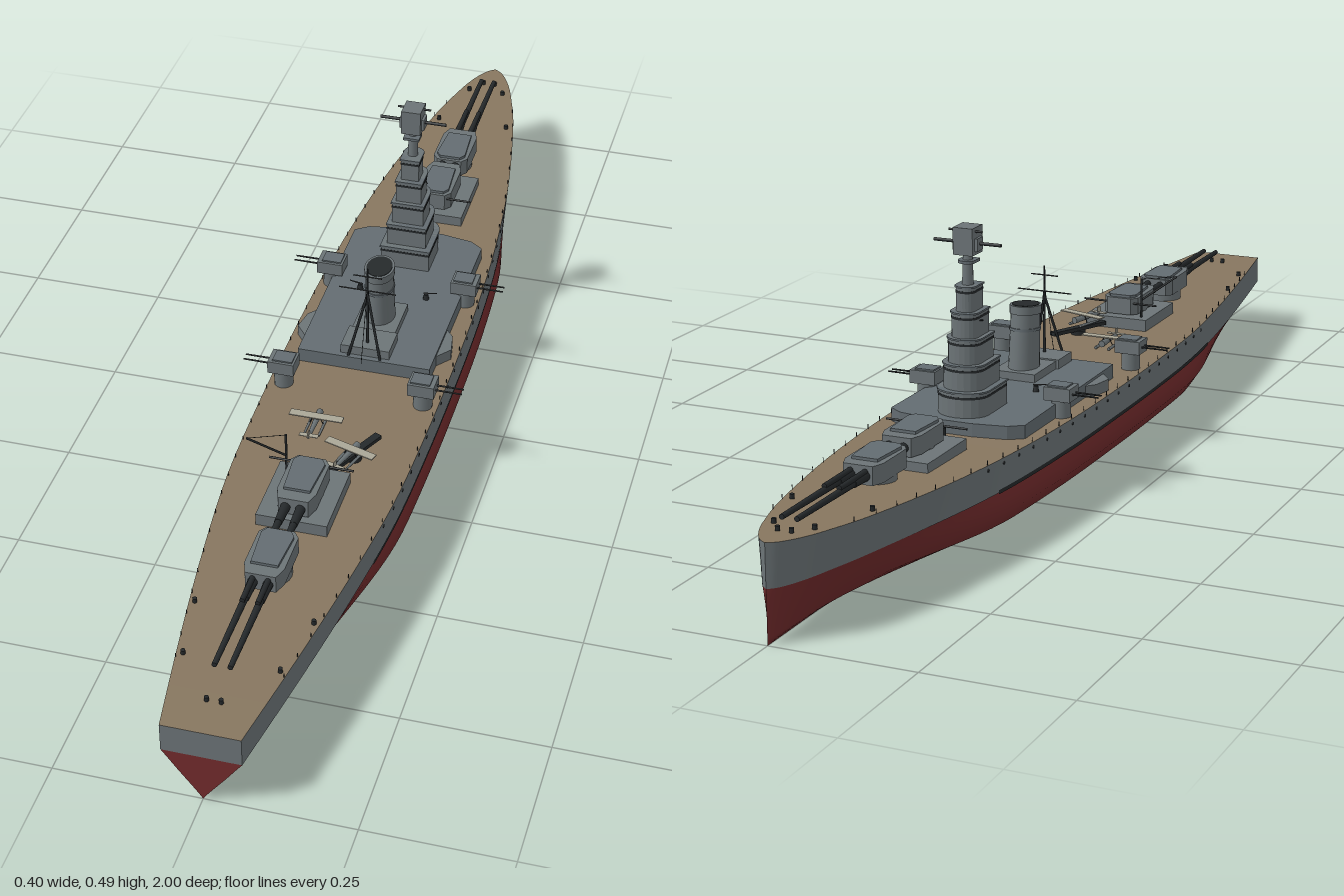
import * as THREE from 'three';

const mat = (name, color, side = THREE.FrontSide) => {
  const m = new THREE.MeshStandardMaterial({ color, side });
  m.name = name;
  return m;
};

export function createModel() {
  const grey = mat('hull grey', 0x6c7477), red = mat('antifouling red', 0x722b2c);
  const wood = mat('deck wood', 0x87765f), dark = mat('dark metal', 0x25292b);
  const pale = mat('aircraft cream', 0xaaa697), roof = mat('superstructure grey', 0x636c71);
  const ship = new THREE.Group();
  ship.name = 'battleship';

  // ---- helpers ----
  const add = (name, geo, m, parent = ship) => {
    const mesh = new THREE.Mesh(geo, m);
    mesh.name = name;
    parent.add(mesh);
    return mesh;
  };
  const group = (name, x, y, z, ry = 0, parent = ship) => {
    const g = new THREE.Group();
    g.name = name;
    g.position.set(x, y, z);
    g.rotation.y = ry;
    parent.add(g);
    return g;
  };
  const box = (name, m, w, h, d, x, y, z, parent) => {
    const b = add(name, new THREE.BoxGeometry(w, h, d), m, parent);
    b.position.set(x, y, z);
    return b;
  };
  const rod = (name, m, a, b, r0, r1 = r0, parent = ship, sides = 8) => {
    const p = new THREE.Vector3(...a), d = new THREE.Vector3(...b).sub(p);
    const c = add(name, new THREE.CylinderGeometry(r1, r0, d.length(), sides), m, parent);
    c.position.copy(p).addScaledVector(d, 0.5);
    c.quaternion.setFromUnitVectors(new THREE.Vector3(0, 1, 0), d.normalize());
    return c;
  };
  // Vertical prism from a plan outline of [x, z] points
  const prism = (name, m, outline, y0, y1, parent) => {
    const s = new THREE.Shape(outline.map(([x, z]) => new THREE.Vector2(x, -z)));
    const g = new THREE.ExtrudeGeometry(s, { depth: y1 - y0, bevelEnabled: false });
    g.rotateX(-Math.PI / 2).translate(0, y0, 0);
    return add(name, g, m, parent);
  };
  const loft = (name, m, rings) => {
    const n = rings[0].length, idx = [];
    for (let i = 0; i < rings.length - 1; i++)
      for (let j = 0; j < n - 1; j++) {
        const a = i * n + j, c = a + n;
        idx.push(a, a + 1, c, a + 1, c + 1, c);
      }
    const g = new THREE.BufferGeometry();
    g.setAttribute('position', new THREE.Float32BufferAttribute(rings.flat(2), 3));
    g.setIndex(idx);
    g.computeVertexNormals();
    return add(name, g, m);
  };

  // ---- hull ----
  const plan = [[-1, 0], [-0.985, 0.018], [-0.95, 0.038], [-0.9, 0.056], [-0.8, 0.083], [-0.6, 0.119],
    [-0.4, 0.141], [-0.2, 0.152], [0, 0.155], [0.2, 0.154], [0.4, 0.147], [0.6, 0.126], [0.8, 0.098], [1, 0.066]];
  const stations = new THREE.SplineCurve(plan.map(p => new THREE.Vector2(...p))).getPoints(78);
  const halfAt = z => {
    const i = Math.max(1, stations.findIndex(s => s.x >= z));
    const a = stations[i - 1], b = stations[i];
    return a.y + (b.y - a.y) * (z - a.x) / (b.x - a.x);
  };
  const WL = 0.09;
  const deckY = z => 0.142 + (z < 0 ? 0.021 * z * z : 0);
  const flare = z => 1 - 0.18 * THREE.MathUtils.smoothstep(-z, 0.4, 1);
  const levels = [WL, 0.075, 0.052, 0.026, 0.01, 0];
  const vee = [1, 0.83, 0.58, 0.28, 0.1, 0], full = [0.985, 1.02, 1.035, 0.92, 0.66, 0];
  const section = s => {
    const z = s.x, w = s.y * flare(z);
    const f = THREE.MathUtils.smoothstep(z, -1, -0.4) * (1 - THREE.MathUtils.smoothstep(z, 0.35, 1));
    const half = levels.map((y, i) => [w * (vee[i] + (full[i] - vee[i]) * f), y, z]);
    const left = half.slice(0, -1).map(([x, y]) => [-x, y, z]);
    return [...left, ...half.reverse()];
  };
  loft('lowerHull', red, stations.map(section));
  loft('mainDeck', wood, stations.map(s => [[s.y, deckY(s.x), s.x], [-s.y, deckY(s.x), s.x]]));
  const side = (sgn, y0, y1, out) => s => {
    const lo = [sgn * (s.y * flare(s.x) + out), y0, s.x];
    const hi = [sgn * ((y1 ? s.y * flare(s.x) : s.y) + out), y1 || deckY(s.x), s.x];
    return sgn > 0 ? [lo, hi] : [hi, lo];
  };
  for (const sgn of [-1, 1]) {
    loft('hullSide', grey, stations.map(side(sgn, WL, 0, 0)));
    loft('waterlineStripe', dark, stations.filter(s => Math.abs(s.x) < 0.5).map(side(sgn, 0.088, 0.095, 0.001)));
  }
  // Flat transom at the stern
  const end = stations[stations.length - 1];
  const lower = new THREE.Shape(section(end).map(([x, y]) => new THREE.Vector2(x, y)));
  add('lowerTransom', new THREE.ShapeGeometry(lower), red).position.z = 1;
  add('upperTransom', new THREE.PlaneGeometry(2 * end.y, deckY(1) - WL), grey).position.set(0, (deckY(1) + WL) / 2, 1);
  // Portholes, deck edge posts and bollards
  for (let z = -0.85; z < 0.9; z += 0.05)
    for (const s of [-1, 1]) {
      const x = s * halfAt(z), y = deckY(z);
      if (Math.abs(z) < 0.5) rod('porthole', dark, [x - s * 0.004, y - 0.009, z], [x + s * 0.001, y - 0.009, z], 0.003);
      rod('railPost', dark, [x * 0.985, y, z], [x * 0.985, y + 0.008, z], 0.0008, 0.0008, ship, 4);
    }
  for (const [x, z] of [[0.07, -0.79], [0.035, -0.91], [0.1, 0.72], [0.08, 0.84], [0.012, -0.94], [0.012, 0.93]])
    for (const s of [-1, 1]) rod('bollard', dark, [s * x, deckY(z), z], [s * x, deckY(z) + 0.008, z], 0.004);

  // ---- midship superstructure ----
  prism('superstructureDeck', roof, [[-0.122, 0.055], [0.122, 0.055], [0.125, -0.34], [0.1, -0.358],
    [0.04, -0.368], [-0.04, -0.368], [-0.1, -0.358], [-0.125, -0.34]], 0.138, 0.168);
  box('rearDeckhouse', grey, 0.09, 0.018, 0.06, 0, 0.176, 0.015);
  box('funnelBase', grey, 0.08, 0.015, 0.1, 0, 0.175, -0.06);

  // ---- pagoda tower: round front, square back ----
  const tower = group('tower', 0, 0, -0.295);
  const horseshoe = (w, d) => {
    const pts = [[w, d], [-w, d]];
    for (let i = 0; i <= 10; i++) {
      const a = Math.PI * i / 10;
      pts.push([-w * Math.cos(a), -(d - w * 0.8) - w * 0.8 * Math.sin(a)]);
    }
    return pts;
  };
  for (const [w, d, y0, y1] of [[0.046, 0.055, 0.165, 0.212], [0.037, 0.045, 0.212, 0.256],
    [0.03, 0.037, 0.256, 0.3], [0.024, 0.031, 0.3, 0.344], [0.017, 0.023, 0.344, 0.388]]) {
    prism('towerTier', grey, horseshoe(w, d), y0, y1, tower);
    prism('tierWindows', dark, horseshoe(w + 0.0006, d + 0.0006), y1 - 0.012, y1 - 0.008, tower);
    prism('tierRim', roof, horseshoe(w + 0.002, d + 0.002), y1 - 0.003, y1, tower);
  }
  rod('towerColumn', grey, [0, 0.385, 0], [0, 0.445, 0], 0.01, 0.008, tower, 12);
  prism('lookoutRim', roof, horseshoe(0.015, 0.017), 0.426, 0.431, tower);
  box('directorHouse', grey, 0.036, 0.047, 0.04, 0, 0.465, 0, tower);
  rod('mainRangefinder', dark, [-0.062, 0.46, 0], [0.062, 0.46, 0], 0.003, 0.003, tower);
  rod('upperRangefinder', dark, [-0.031, 0.482, -0.008], [0.031, 0.482, -0.008], 0.002, 0.002, tower);
  for (const s of [-1, 1]) {
    box('directorEar', grey, 0.008, 0.022, 0.022, s * 0.019, 0.459, 0, tower);
    rod('towerYard', dark, [0, 0.328, -0.03], [s * 0.028, 0.328, 0], 0.0012, 0.0012, tower);
  }

  // ---- funnel ----
  const funnel = group('funnel', 0, 0.165, -0.066);
  funnel.rotation.x = 0.07;
  funnel.scale.x = 0.8;
  rod('funnelBody', grey, [0, 0, 0], [0, 0.128, 0], 0.034, 0.031, funnel, 24);
  rod('funnelBand', roof, [0, 0.085, 0], [0, 0.09, 0], 0.034, 0.034, funnel, 24);
  rod('funnelRim', grey, [0, 0.115, 0], [0, 0.13, 0], 0.034, 0.034, funnel, 24);
  rod('funnelMouth', dark, [0, 0.128, 0], [0, 0.131, 0], 0.029, 0.029, funnel, 24);

  // ---- tripod mast ----
  rod('mast', dark, [0, 0.165, 0.025], [0, 0.345, 0.025], 0.003, 0.0015);
  for (const s of [-1, 1]) {
    rod('mastLeg', dark, [s * 0.03, 0.165, 0.05], [0, 0.29, 0.025], 0.0025);
    rod('mastStay', dark, [0, 0.31, 0.025], [0, 0.168, 0.025 + s * 0.045], 0.0006, 0.0006, ship, 4);
  }
  rod('mastYard', dark, [-0.052, 0.298, 0.025], [0.052, 0.298, 0.025], 0.0012);
  rod('mastTopYard', dark, [-0.026, 0.328, 0.025], [0.026, 0.328, 0.025], 0.0012);

  // ---- main gun turrets, two guns each ----
  const turret = (z, y, turn, reach, raised) => {
    const g = group('mainTurret', 0, y, z, turn);
    rod('barbette', grey, [0, -0.03, 0.005], [0, 0.008, 0.005], 0.034, 0.034, g, 20);
    prism('gunhouse', grey, [[-0.026, -0.058], [0.026, -0.058], [0.034, -0.035], [0.034, 0.045],
      [0.024, 0.058], [-0.024, 0.058], [-0.034, 0.045], [-0.034, -0.035]], 0.004, 0.036, g);
    prism('gunhouseRoof', roof, [[-0.023, -0.035], [0.023, -0.035], [0.028, 0.04], [0.02, 0.052],
      [-0.02, 0.052], [-0.028, 0.04]], 0.035, 0.041, g);
    for (const s of [-1, 1]) {
      rod('gunSleeve', dark, [s * 0.013, 0.019, -0.05], [s * 0.013, 0.019, -0.1], 0.009, 0.007, g, 12);
      rod('gunBarrel', dark, [s * 0.013, 0.019, -0.05], [s * 0.013, 0.02, -reach], 0.0065, 0.0045, g, 12);
    }
    if (raised) {
      rod('turretRangefinder', dark, [-0.074, 0.026, 0.052], [0.074, 0.026, 0.052], 0.002, 0.002, g);
      box('turretPlatform', grey, 0.124, 0.026, 0.146, 0, -0.011, 0.002, g);
    }
  };
  turret(-0.645, 0.157, 0, 0.28, false);
  turret(-0.51, 0.163, 0, 0.28, true);
  turret(0.625, 0.155, Math.PI, 0.26, false);
  turret(0.44, 0.162, Math.PI, 0.3, true);

  // ---- secondary turrets and deck fittings, mirrored ----
  for (const s of [-1, 1]) {
    for (const z of [-0.195, 0.125]) {
      const g = group('secondaryTurret', s * 0.128, 0.14, z, s > 0 ? 0 : Math.PI);
      rod('pedestal', grey, [0, 0, 0], [0, 0.036, 0], 0.017, 0.017, g, 14);
      box('secondaryHouse', grey, 0.048, 0.024, 0.04, 0, 0.046, 0, g);
      box('secondaryRoof', roof, 0.036, 0.003, 0.03, -0.002, 0.0592, 0, g);
      for (const o of [-0.007, 0.007])
        rod('secondaryBarrel', dark, [0.02, 0.046, o], [0.072, 0.046, o], 0.0018, 0.0014, g, 6);
    }
    prism('sideSponson', grey, [[s * 0.12, -0.08], [s * 0.137, -0.06], [s * 0.144, -0.02], [s * 0.12, 0.01]], 0.138, 0.163);
    const aa = group('lightGun', s * 0.063, 0.168, -0.155);
    rod('gunStand', dark, [0, 0, 0], [0, 0.01, 0], 0.006, 0.004, aa);
    rod('lightBarrel', dark, [-s * 0.005, 0.011, 0], [s * 0.02, 0.015, 0], 0.0015, 0.001, aa);
  }
  rod('capstan', dark, [0, 0.14, -0.4], [0, 0.166, -0.4], 0.007);

  // ---- crane, catapult and seaplanes ----
  rod('craneMast', dark, [-0.045, 0.14, 0.385], [-0.045, 0.24, 0.385], 0.0022);
  rod('craneBoom', dark, [-0.045, 0.198, 0.388], [-0.105, 0.243, 0.415], 0.002);
  rod('craneCable', dark, [-0.045, 0.239, 0.385], [-0.105, 0.243, 0.415], 0.0006, 0.0006, ship, 4);
  const catapult = group('catapult', 0.05, 0.142, 0.3, -0.45);
  box('catapultTrack', dark, 0.014, 0.007, 0.13, 0, 0.011, 0, catapult);
  rod('catapultTurntable', dark, [0, 0, 0], [0, 0.008, 0], 0.014, 0.014, catapult, 14);
  const seaplane = (x, y, z, turn) => {
    const p = group('seaplane', x, y, z, turn);
    rod('fuselage', grey, [0, 0.012, -0.036], [0, 0.012, 0.04], 0.0065, 0.003, p);
    box('wing', pale, 0.096, 0.002, 0.016, 0, 0.02, -0.012, p);
    box('tailplane', pale, 0.034, 0.0015, 0.009, 0, 0.014, 0.036, p);
    box('fin', pale, 0.0015, 0.012, 0.01, 0, 0.018, 0.037, p);
    for (const s of [-1, 1]) {
      rod('float', grey, [s * 0.013, 0.003, -0.034], [s * 0.013, 0.003, 0.02], 0.003, 0.002, p);
      rod('floatStrut', dark, [s * 0.013, 0.003, -0.012], [s * 0.005, 0.019, -0.012], 0.001, 0.001, p, 4);
    }
  };
  seaplane(-0.037, 0.144, 0.242, 0);
  seaplane(0.045, 0.157, 0.328, -0.3);
  return ship;
}
